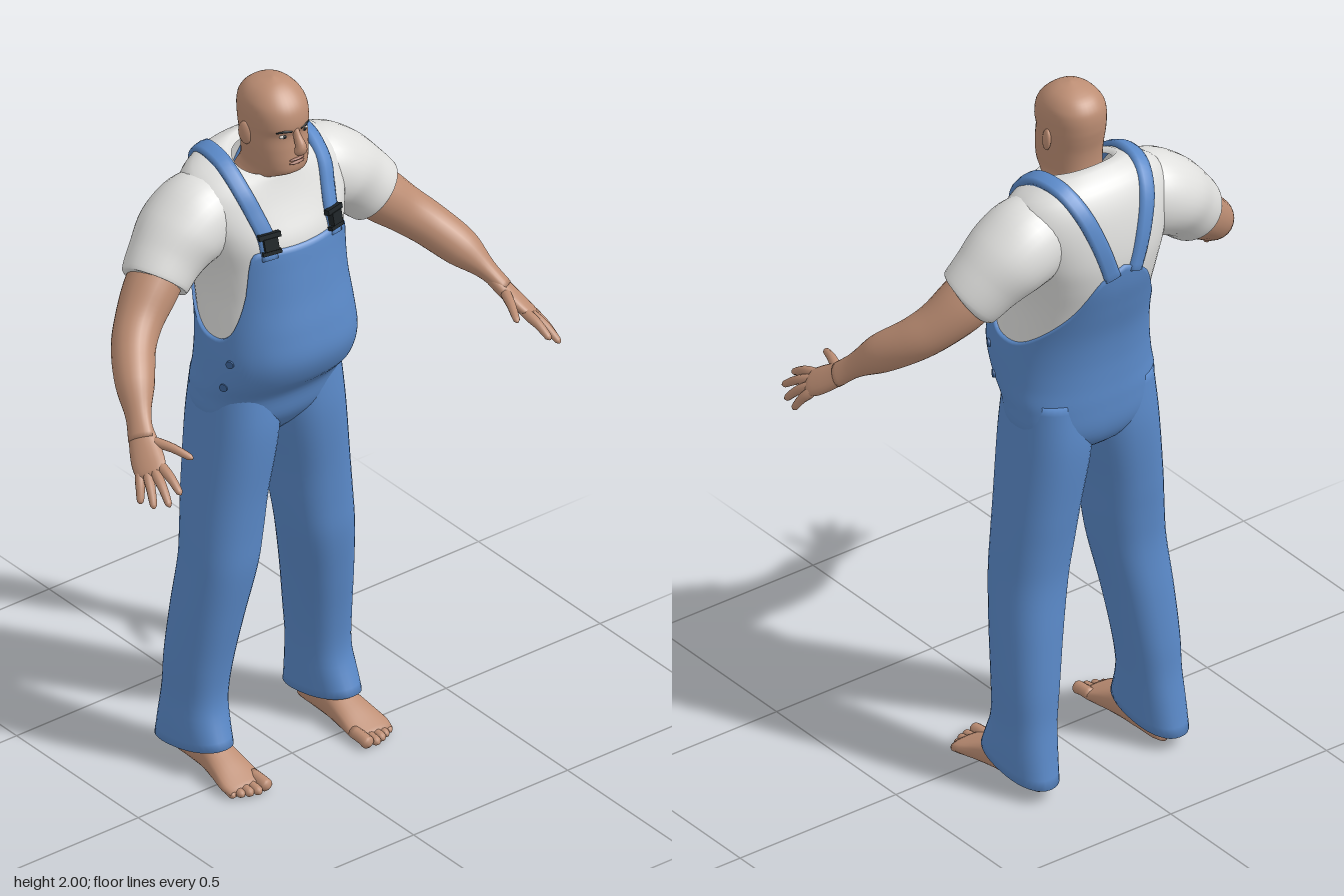
import * as THREE from 'three';

const V = (x, y, z) => new THREE.Vector3(x, y, z);
const paint = (name, color, side = THREE.FrontSide) => {
  const m = new THREE.MeshStandardMaterial({ color, side });
  m.name = name;
  return m;
};

// Smooth interpolation of rows [key, a, b, ...]
function sample(rows, t) {
  let i = 0;
  while (i < rows.length - 2 && t > rows[i + 1][0]) i++;
  const p = rows[i], q = rows[i + 1], o = rows[Math.max(i - 1, 0)], r = rows[Math.min(i + 2, rows.length - 1)];
  const d = q[0] - p[0], u = Math.min(1, Math.max(0, (t - p[0]) / d));
  return p.slice(1).map((a, k) => {
    const b = q[k + 1];
    const ma = (b - o[k + 1]) / (q[0] - o[0]) * d, mb = (r[k + 1] - a) / (r[0] - p[0]) * d;
    const u2 = u * u, u3 = u2 * u;
    return (2 * u3 - 3 * u2 + 1) * a + (u3 - 2 * u2 + u) * ma + (3 * u2 - 2 * u3) * b + (u3 - u2) * mb;
  });
}

// Skin over closed rings of points, faces turned outward
function loft(rings, capStart = true, capEnd = true) {
  const n = rings[0].length, pts = rings.flat(), idx = [];
  for (let j = 0; j < rings.length - 1; j++) for (let i = 0; i < n; i++) {
    const a = j * n + i, b = j * n + (i + 1) % n;
    idx.push(a, b, b + n, a, b + n, a + n);
  }
  const cap = (ring, base, flip) => {
    pts.push(ring.reduce((s, p) => s.add(p), V(0, 0, 0)).divideScalar(n));
    for (let i = 0; i < n; i++) {
      const a = base + i, b = base + (i + 1) % n;
      idx.push(pts.length - 1, flip ? b : a, flip ? a : b);
    }
  };
  if (capStart) cap(rings[0], 0, true);
  if (capEnd) cap(rings[rings.length - 1], (rings.length - 1) * n, false);
  const c = pts.reduce((s, p) => s.add(p), V(0, 0, 0)).divideScalar(pts.length);
  let vol = 0;
  for (let k = 0; k < idx.length; k += 3) {
    const [a, b, d] = [0, 1, 2].map(m => pts[idx[k + m]].clone().sub(c));
    vol += a.dot(b.cross(d));
  }
  if (vol < 0) idx.reverse();
  const g = new THREE.BufferGeometry().setFromPoints(pts);
  g.setIndex(idx);
  g.computeVertexNormals();
  return g;
}

const spow = (v, e) => Math.sign(v) * Math.abs(v) ** e;
const oval = (n, f) => Array.from({ length: n }, (_, i) => f(i / n * Math.PI * 2));
const span = (n, f) => Array.from({ length: n + 1 }, (_, i) => f(i / n));

// Limb through points [x, y, z, radius across, radius through]; s mirrors it
function limb(keys, s, across, steps = 5, sides = 18) {
  const curve = new THREE.CatmullRomCurve3(keys.map(k => V(k[0] * s, k[1], k[2])));
  const radii = keys.map((k, i) => [i, k[3], k[4] ?? k[3]]), last = keys.length - 1;
  const dir = V(across[0] * s, across[1], across[2]);
  return loft(span(last * steps, t => {
    const p = curve.getPoint(t), T = curve.getTangent(t);
    const U = dir.clone().addScaledVector(T, -dir.dot(T)).normalize(), W = T.clone().cross(U);
    const [a, b] = sample(radii, t * last);
    return oval(sides, q => p.clone().addScaledVector(U, a * Math.cos(q)).addScaledVector(W, b * Math.sin(q)));
  }));
}

// Torso rows: height, half width, front z, back z
const TORSO = [[0.95, .05, -.07, -.16], [0.99, .12, -.03, -.215], [1.04, .19, .005, -.24], [1.12, .204, .028, -.244],
  [1.18, .204, .08, -.242], [1.25, .202, .108, -.243], [1.33, .196, .1, -.253], [1.42, .192, .08, -.277], [1.5, .2, .065, -.297],
  [1.58, .22, .05, -.303], [1.66, .235, .02, -.285], [1.72, .215, -.005, -.25], [1.755, .165, -.02, -.212], [1.775, .108, -.028, -.185]];
const tilt = (y, z) => y - .35 * (z + .11) * THREE.MathUtils.smoothstep(y, 1.55, 1.77);
const N = 2.3;
function torso(q, y, grow = 0) {
  const [w, f, b] = sample(TORSO, y);
  const z = (f + b) / 2 + ((f - b) / 2 + grow) * spow(Math.cos(q), 2 / N);
  return V((w + grow) * spow(Math.sin(q), 2 / N), tilt(y, z), z);
}
function onTorso(x, y, side) {
  const [w, f, b] = sample(TORSO, y);
  const z = (f + b) / 2 + side * (f - b) / 2 * (1 - Math.min(1, Math.abs(x / w)) ** N) ** (1 / N);
  return V(x, tilt(y, z), z);
}
// Overall edge height by angle from the front
const EDGE = [[0, 1.57], [.62, 1.57], [.75, 1.54], [.95, 1.43], [1.25, 1.33], [1.6, 1.3], [2, 1.33], [2.5, 1.42], [2.85, 1.52], [3.15, 1.56]];
const LEG = [[.07, .208, .07, -.01, -.27], [.12, .206, .072, -.028, -.258], [.2, .2, .072, -.05, -.243], [.3, .193, .078, -.045, -.238],
  [.45, .177, .086, -.022, -.226], [.6, .156, .095, 0, -.213], [.7, .144, .1, .003, -.218], [.8, .133, .102, .007, -.228],
  [1, .107, .107, .02, -.243], [1.14, .105, .094, .01, -.232]];
const HEAD = [[1.66, .1, -.035, -.19], [1.73, .088, -.035, -.177], [1.748, .079, -.005, -.172], [1.762, .075, .016, -.169], [1.79, .077, .021, -.166],
  [1.83, .08, .018, -.168], [1.87, .081, .014, -.176], [1.895, .082, .021, -.18], [1.93, .081, .016, -.18], [1.955, .074, .002, -.172],
  [1.98, .054, -.025, -.148], [1.995, .026, -.053, -.11], [2, .004, -.075, -.085]];
const FOOT = [[-.213, .2, .012, .03], [-.195, .2, .032, .075], [-.14, .2, .041, .11], [-.07, .201, .044, .095], [0, .205, .054, .066],
  [.05, .208, .06, .042], [.08, .208, .055, .028]];

export function createModel() {
  const man = new THREE.Group();
  man.name = 'manInOveralls';
  const skin = paint('skin', 0xbd8e74), lip = paint('lips', 0xa07060);
  const shirt = paint('shirtWhite', 0xe0e0de, THREE.DoubleSide), denim = paint('denimBlue', 0x5a89c8, THREE.DoubleSide);
  const black = paint('buckleBlack', 0x1d2326), rivet = paint('rivetBlue', 0x3d6498), white = paint('eyeWhite', 0xd8d2cc);
  const add = (name, geo, mat, parent = man) => {
    const m = new THREE.Mesh(geo, mat);
    m.name = name;
    parent.add(m);
    return m;
  };
  const box = (name, mat, w, h, d, x, y, z, parent) => {
    const m = add(name, new THREE.BoxGeometry(w, h, d), mat, parent);
    m.position.set(x, y, z);
    return m;
  };

  // Shirt body with a turned-in collar
  const shirtRings = span(40, t => oval(56, q => torso(q, 1.22 + .555 * t)));
  shirtRings.push(oval(56, q => torso(q, 1.775, -.012).add(V(0, -.015, 0))));
  add('shirtBody', loft(shirtRings, false, false), shirt);

  // Overalls: hips, belly and bib up to the curved edge
  const edge = q => sample(EDGE, q > Math.PI ? 2 * Math.PI - q : q)[0];
  const bib = span(44, t => oval(96, q => torso(q, .95 + (edge(q) - .95) * t, .008)));
  bib.push(oval(96, q => torso(q, edge(q), -.004)));
  add('overallsBody', loft(bib, true, false), denim);

  // Head and neck
  add('head', loft(span(64, t => {
    const y = 1.66 + .34 * t, [w, f, b] = sample(HEAD, y);
    return oval(40, q => V(w * spow(Math.sin(q), .9), y, (f + b) / 2 + (f - b) / 2 * spow(Math.cos(q), .9)));
  })), skin);
  add('nose', limb([[0, 1.893, .012, .008], [0, 1.87, .022, .01, .012], [0, 1.846, .036, .015, .016],
    [0, 1.832, .034, .018, .013], [0, 1.824, .022, .008]], 1, [1, 0, 0]), skin);
  [['upperLip', 1.803, .004], ['lowerLip', 1.793, .005]].forEach(([name, y, h]) => {
    const m = add(name, new THREE.SphereGeometry(1, 16, 8), lip);
    m.position.set(0, y, .019);
    m.scale.set(.024, h, .007);
  });

  for (const s of [1, -1]) {
    const side = new THREE.Group();
    side.name = s > 0 ? 'leftSide' : 'rightSide';
    man.add(side);
    const part = (name, keys, across, mat, steps, sides) => add(name, limb(keys, s, across, steps, sides), mat, side);
    const ball = (name, mat, x, y, z, a, b, c) => {
      const m = add(name, new THREE.SphereGeometry(1, 16, 12), mat, side);
      m.position.set(x * s, y, z);
      m.scale.set(a, b, c);
      return m;
    };

    // Face and ear
    ball('eye', white, .033, 1.875, .006, .013, .006, .006);
    ball('pupil', black, .033, 1.875, .011, .005, .005, .003);
    part('eyebrow', [[.014, 1.888, .018, .003], [.034, 1.892, .013, .004], [.053, 1.888, .001, .002]], [0, 1, 0], black, 4, 8);
    ball('ear', skin, .083, 1.86, -.088, .01, .032, .02).rotation.set(-.15, s * -.35, 0);

    // Sleeve, bare arm and hand
    part('sleeve', [[.1, 1.64, -.14, .09, .09], [.18, 1.632, -.145, .115, .115], [.25, 1.6, -.143, .119, .108], [.31, 1.55, -.132, .1, .097],
      [.355, 1.502, -.118, .088, .088], [.357, 1.5, -.117, .07, .07]], [0, 0, 1], shirt, 6, 32);
    part('arm', [[.3, 1.56, -.135, .07], [.37, 1.488, -.113, .072], [.43, 1.432, -.085, .063], [.478, 1.388, -.047, .058], [.53, 1.33, .025, .051],
      [.565, 1.28, .083, .035, .028], [.59, 1.238, .127, .036, .022]], [.5, -.4, -.6], skin, 5, 24);
    part('palm', [[.567, 1.275, .09, .026, .022], [.585, 1.24, .125, .037, .022], [.605, 1.205, .172, .045, .02],
      [.617, 1.187, .203, .04, .015], [.621, 1.181, .213, .02, .008]], [.045, -.025, -.04], skin);
    const fingers = [['indexFinger', [.592, 1.2, .208], [.6, 1.163, .303]], ['middleFinger', [.61, 1.19, .208], [.634, 1.138, .3]],
      ['ringFinger', [.624, 1.182, .196], [.655, 1.122, .262]], ['littleFinger', [.634, 1.176, .178], [.664, 1.118, .217]],
      ['thumb', [.578, 1.238, .14], [.527, 1.222, .26]]];
    for (const [name, a, b] of fingers) {
      const at = (t, lift, r) => [0, 1, 2].map(k => a[k] + (b[k] - a[k]) * t + (k === 1 ? lift : 0)).concat(r);
      part(name, [at(-.15, 0, .012), at(.2, .004, .014), at(.55, .007, .012), at(.92, .001, .009), at(1, 0, .003)], [1, 0, 0], skin, 3, 10);
    }

    // Trouser leg with a turned-in hem
    const legRing = (y, grow = 0) => {
      const [x, w, f, b] = sample(LEG, y), k = .18 * (1 - THREE.MathUtils.smoothstep(y, .07, .2));
      return oval(36, q => {
        const z = (f + b) / 2 + ((f - b) / 2 + grow) * spow(Math.cos(q), .88);
        return V(s * (x + (w + grow) * spow(Math.sin(q), .88)), y + k * (z + .1), z);
      });
    };
    add('trouserLeg', loft([legRing(.07, -.015), ...span(46, t => legRing(.07 + 1.07 * t))], false, true), denim, side);

    // Foot, ankle and toes
    add('foot', loft(span(30, t => {
      const z = -.213 + .293 * t, [x, w, h] = sample(FOOT, z);
      return oval(24, q => V(s * (x + w * Math.cos(q)), h / 2 + .002 + h / 2 * spow(Math.sin(q), .8), z));
    })), skin, side);
    part('ankle', [[.2, .05, -.15, .038, .045], [.2, .11, -.15, .038, .046], [.198, .2, -.145, .045, .055]], [1, 0, 0], skin);
    for (let i = 0; i < 5; i++) {
      const x = [.165, .192, .214, .234, .254][i], r = [.017, .012, .012, .011, .01][i], end = [.114, .115, .108, .098, .086][i];
      part('toe' + (i + 1), [[x, r + .008, .045, r], [x, r + .006, end - .03, r], [x, r + .002, end - .008, r], [x, r, end, r * .3]], [1, 0, 0], skin, 3, 10);
    }

    // Strap from bib over the shoulder to the middle of the back
    const path = new THREE.CatmullRomCurve3([onTorso(.105, 1.55, 1), onTorso(.106, 1.62, 1), onTorso(.118, 1.69, 1), onTorso(.132, 1.745, 1),
      V(.135, 1.776, -.115), onTorso(.125, 1.745, -1), onTorso(.103, 1.69, -1), onTorso(.07, 1.62, -1), onTorso(.035, 1.53, -1)]);
    add('strap', loft(span(48, t => {
      const p = path.getPoint(t), T = path.getTangent(t), n = p.clone().sub(V(p.x * .6, 1.6, -.12));
      n.addScaledVector(T, -n.dot(T)).normalize();
      const B = T.clone().cross(n);
      return [[-1, -.006], [-1, .009], [-.5, .012], [.5, .012], [1, .009], [1, -.006]].map(([u, h]) => {
        const c = p.clone().addScaledVector(B, u * .022).addScaledVector(n, h);
        return c.setX(c.x * s);
      });
    })), denim, side);

    // Buckle
    const buckle = new THREE.Group();
    buckle.name = 'buckle';
    buckle.position.copy(onTorso(.104, 1.605, 1)).add(V(0, 0, .014));
    buckle.position.x *= s;
    buckle.rotation.set(-.25, s * .3, 0);
    side.add(buckle);
    box('buckleTopBar', black, .06, .014, .016, 0, .022, 0, buckle);
    box('buckleClip', black, .038, .034, .018, 0, 0, .002, buckle);
    box('buckleBottomBar', black, .052, .01, .014, 0, -.024, 0, buckle);

    // Hip rivets
    for (const y of [1.25, 1.17]) {
      const p = torso(1.25, y, .009), m = add('hipRivet', new THREE.CylinderGeometry(.011, .011, .008, 16), rivet, side);
      m.position.set(p.x * s, p.y, p.z);
      m.rotation.set(0, -s * .45, Math.PI / 2);
    }
  }
  return man;
}
